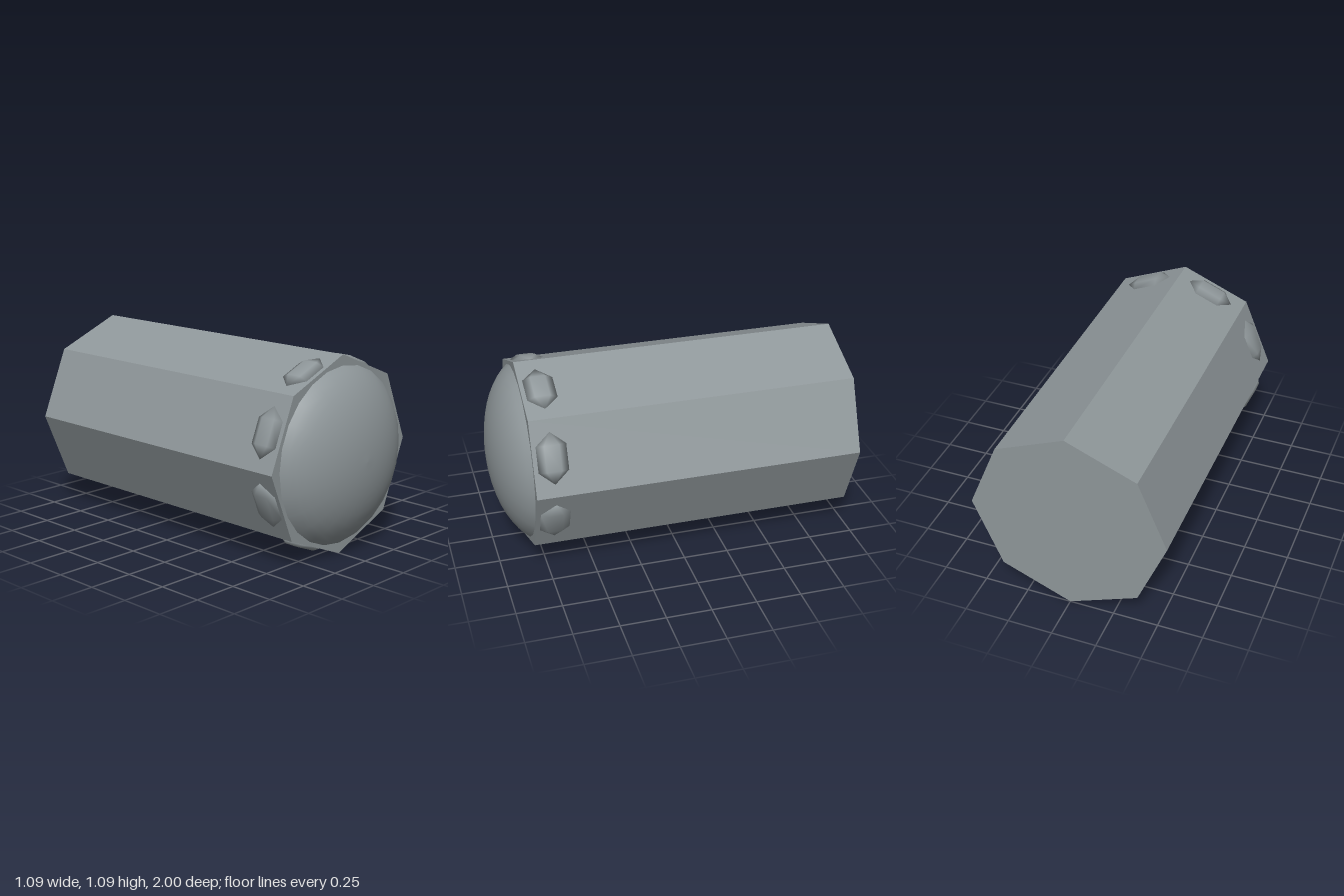
import * as THREE from 'three';

export function createModel() {
  const group = new THREE.Group();
  const RADIUS = 0.545, BACK = -1, FACE = 0.82, SIDES = 8;
  const apothem = RADIUS * Math.cos(Math.PI / SIDES);

  const grey = new THREE.MeshStandardMaterial({ color: 0x8f979a });
  grey.name = 'grey';
  const flatGrey = grey.clone();
  flatGrey.flatShading = true;

  // everything is arranged round the long axis
  const axis = new THREE.Group();
  axis.name = 'axis';
  axis.position.y = RADIUS;
  group.add(axis);

  // octagonal body with one corner pointing up
  const bodyGeo = new THREE.CylinderGeometry(RADIUS, RADIUS, FACE - BACK, SIDES);
  bodyGeo.rotateX(Math.PI / 2);
  const body = new THREE.Mesh(bodyGeo, flatGrey);
  body.name = 'body';
  body.position.z = (FACE + BACK) / 2;
  axis.add(body);

  // shallow rounded lens on the front, a slice of an ellipsoid
  const A = 0.52, DEPTH = 0.28, RIM = 0.487;
  const start = Math.asin(RIM / A);
  const profile = [];
  for (let i = 0; i <= 10; i++) {
    const t = start * (1 - i / 10);
    profile.push(new THREE.Vector2(A * Math.sin(t), 1 - DEPTH + DEPTH * Math.cos(t)));
  }
  const domeGeo = new THREE.LatheGeometry(profile, 24);
  domeGeo.rotateX(Math.PI / 2);
  const dome = new THREE.Mesh(domeGeo, grey);
  dome.name = 'frontDome';
  axis.add(dome);

  // one low bump in the middle of every side, near the front
  const bumpGeo = new THREE.SphereGeometry(1, 6, 3);
  bumpGeo.rotateY(Math.PI / 2);
  bumpGeo.rotateZ(Math.PI / 2);
  bumpGeo.scale(0.14, 0.03, 0.094);
  for (let i = 0; i < SIDES; i++) {
    const pivot = new THREE.Group();
    pivot.name = 'bumpPivot';
    pivot.rotation.z = (i + 0.5) * (2 * Math.PI / SIDES);
    const bump = new THREE.Mesh(bumpGeo, grey);
    bump.name = 'sideBump';
    bump.position.set(0, apothem, 0.715);
    pivot.add(bump);
    axis.add(pivot);
  }
  return group;
}
